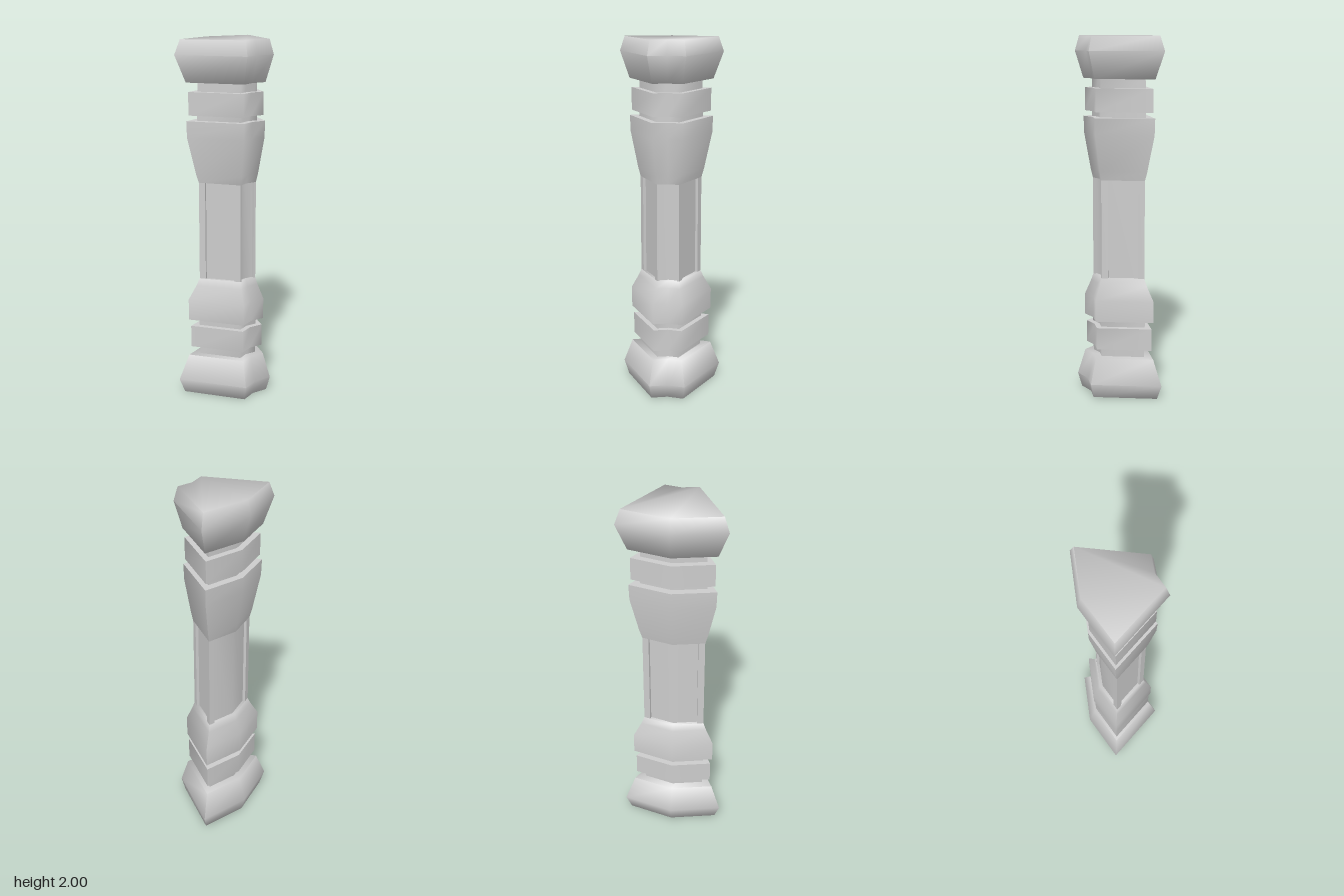
import * as THREE from 'three';
import { toCreasedNormals } from 'three/addons/utils/BufferGeometryUtils.js';

// Widest outline as (x, -z), counter-clockwise from above; notched on +x, ridged on -x
const OUTLINE = [[0.21, -0.1], [0.188, 0], [0.21, 0.1], [-0.14, 0.285], [-0.21, 0], [-0.14, -0.285]]
  .map(([x, y]) => new THREE.Vector2(x, y));
const GRIP_SCALE = 0.6;

// Closed solid through scaled copies of the outline; rings are [y, scale] from bottom to top
function loft(rings) {
  const n = OUTLINE.length, pos = [], idx = [];
  for (const [y, s] of rings) for (const p of OUTLINE) pos.push(p.x * s, y, -p.y * s);
  for (let r = 0; r < rings.length - 1; r++) {
    for (let i = 0; i < n; i++) {
      const a = r * n + i, b = r * n + (i + 1) % n;
      idx.push(a, b, b + n, a, b + n, a + n);
    }
  }
  const top = (rings.length - 1) * n;
  for (const [a, b, c] of THREE.ShapeUtils.triangulateShape(OUTLINE, [])) {
    idx.push(a, c, b, top + a, top + b, top + c);
  }
  const g = new THREE.BufferGeometry();
  g.setAttribute('position', new THREE.Float32BufferAttribute(pos, 3));
  g.setIndex(idx);
  return toCreasedNormals(g, 1.35);
}

// Grip section: raised posts at four corners, recessed panels between them
function gripGeometry(y0, y1) {
  const P = OUTLINE.map(p => p.clone().multiplyScalar(GRIP_SCALE));
  const n = P.length, depth = 0.016, pts = [];
  P.forEach((c, i) => {
    if (i === 1 || i === 4) { // middle of the notched and ridged panels
      pts.push(new THREE.Vector2(c.x - Math.sign(c.x) * depth, c.y));
      return;
    }
    const prev = (i + n - 1) % n, next = (i + 1) % n;
    const side = (j) => {
      const dir = P[j].clone().sub(c).normalize();
      const edge = c.clone().addScaledVector(dir, j === 1 ? 0.012 : 0.036);
      const k = j === next ? 1 : -1;
      const inward = new THREE.Vector2(-dir.y * k, dir.x * k);
      return [edge, edge.clone().addScaledVector(inward, depth)];
    };
    const [e0, r0] = side(prev), [e1, r1] = side(next);
    pts.push(r0, e0, c, e1, r1);
  });
  const g = new THREE.ExtrudeGeometry(new THREE.Shape(pts), { depth: y1 - y0, bevelEnabled: false });
  g.rotateX(-Math.PI / 2);
  g.translate(0, y0, 0);
  return toCreasedNormals(g, 0.7);
}

export function createModel() {
  const model = new THREE.Group();
  const material = new THREE.MeshStandardMaterial({ color: 0xcccccc });
  const add = (name, geometry) => {
    const mesh = new THREE.Mesh(geometry, material);
    mesh.name = name;
    model.add(mesh);
  };

  // End caps, necks and collars repeat at both ends
  const ends = {
    EndCap: [[0, 0.9], [0.08, 1], [0.225, 0.81]],
    Neck: [[0.2, GRIP_SCALE], [0.46, GRIP_SCALE + 0.02]],
    Collar: [[0.275, 0.77], [0.4, 0.77]],
  };
  for (const [part, rings] of Object.entries(ends)) {
    add('lower' + part, loft(rings));
    add('upper' + part, loft(rings.map(([y, s]) => [2 - y, s]).reverse()));
  }

  // Flares widening from the grip to the collars
  add('lowerFlare', loft([[0.44, 0.81], [0.56, 0.81], [0.64, 0.66], [0.68, 0.6]]));
  add('upperFlare', loft([[1.23, 0.6], [1.28, 0.65], [1.48, 0.8], [1.57, 0.81]]));

  // Panelled grip
  add('grip', gripGeometry(0.6, 1.32));
  return model;
}
